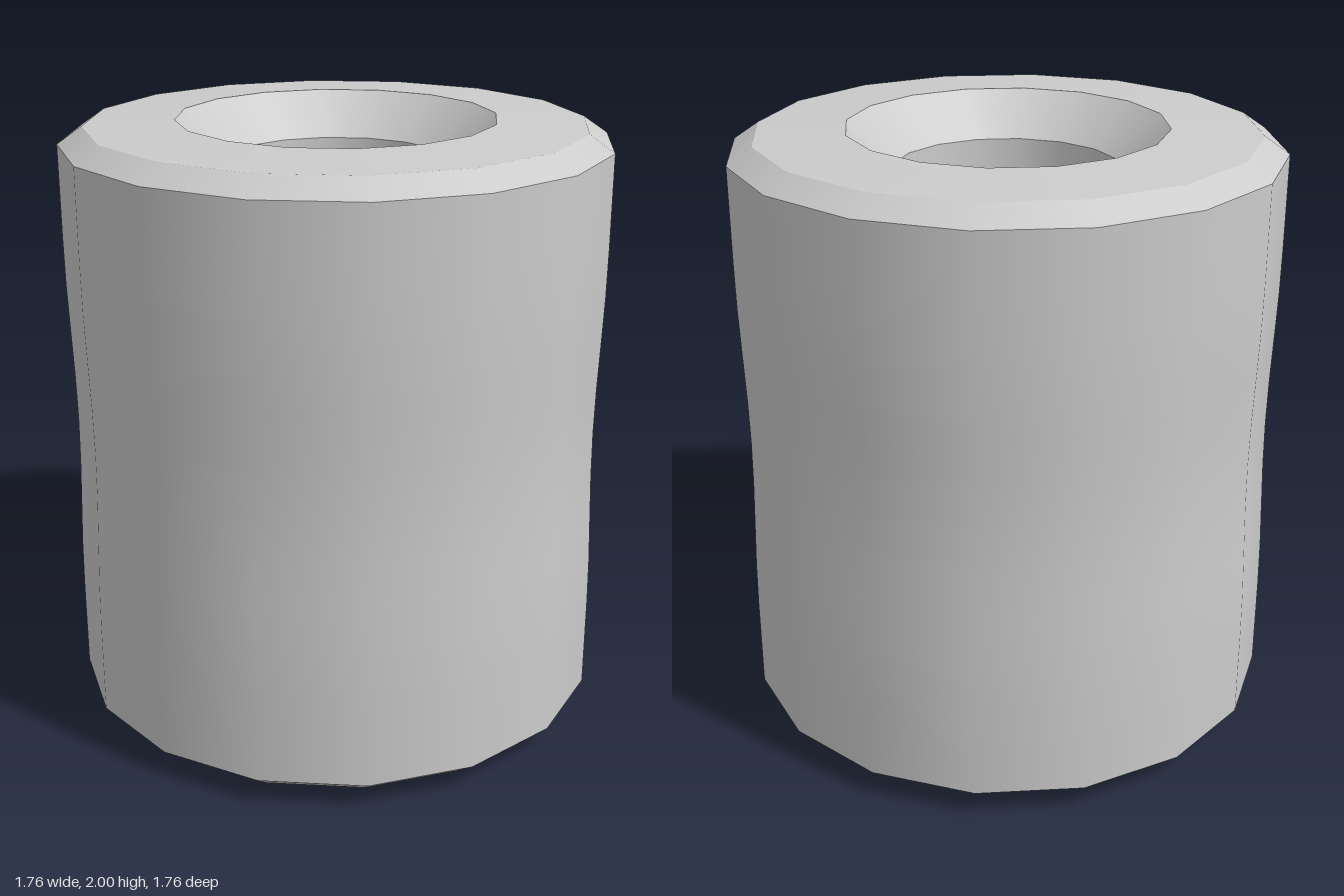
import * as THREE from 'three';

const SIDES = 16;
const TURN = -4.8 * Math.PI / 180; // slight twist of the sixteen-sided ring

export function createModel() {
  const group = new THREE.Group();
  group.name = 'bead';
  const material = new THREE.MeshStandardMaterial({ color: 0xcccccc });

  // One smooth band of revolution; bands meet at sharp edges.
  const band = (name, profile) => {
    const points = profile.map(([r, y]) => new THREE.Vector2(r, y));
    const mesh = new THREE.Mesh(new THREE.LatheGeometry(points, SIDES, TURN), material);
    mesh.name = name;
    group.add(mesh);
  };

  // A wall that narrows (or bulges inward) gently around mid-height.
  const waisted = (radius, y0, y1, depth) => {
    const profile = [];
    for (let i = 0; i <= 12; i++) {
      const y = y0 + (y1 - y0) * i / 12;
      const d = Math.min(1, Math.abs(y - 1) / 0.6);
      profile.push([radius - depth * (0.5 + 0.5 * Math.cos(Math.PI * d)), y]);
    }
    return profile;
  };

  // Outer body with chamfered ends
  band('outerWall', waisted(0.885, 0.09, 1.93, 0.015));
  band('topChamfer', [[0.885, 1.93], [0.805, 1.985]]);
  band('bottomChamfer', [[0.805, 0.03], [0.885, 0.09]]);

  // Slightly domed end faces
  band('topFace', [[0.805, 1.985], [0.515, 2]]);
  band('bottomFace', [[0.372, 0], [0.805, 0.03]]);

  // Countersink and bore
  band('countersink', [[0.515, 2], [0.37, 1.86]]);
  band('bore', waisted(0.37, 1.86, 0, 0.015));

  // Thin lip turned up inside the lower end of the bore
  band('innerLip', [[0.37, 0], [0.303, 0.14]]);

  return group;
}
